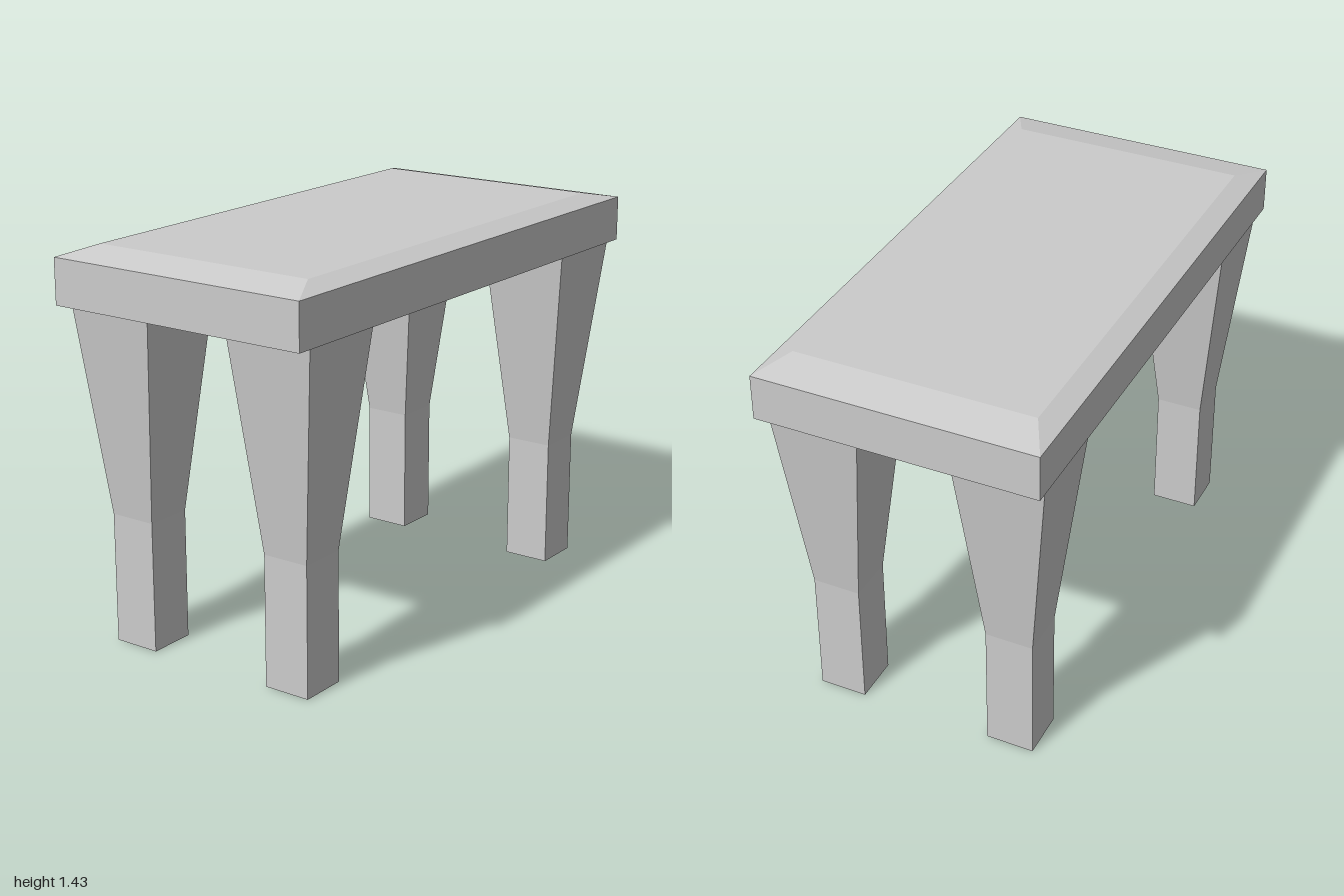
import * as THREE from 'three';

// Closed solid through stacked rectangles, each [y, halfWidth, halfDepth], bottom to top
function stackedBox(sections) {
  const corners = [[1, 1], [1, -1], [-1, -1], [-1, 1]];
  const positions = [];
  const index = [];
  for (const [y, hx, hz] of sections) {
    for (const [sx, sz] of corners) positions.push(sx * hx, y, sz * hz);
  }
  for (let s = 0; s < sections.length - 1; s++) {
    for (let i = 0; i < 4; i++) {
      const a = s * 4 + i;
      const b = s * 4 + (i + 1) % 4;
      index.push(a, b, b + 4, a, b + 4, a + 4);
    }
  }
  const t = (sections.length - 1) * 4;
  index.push(0, 2, 1, 0, 3, 2, t, t + 1, t + 2, t, t + 2, t + 3);
  const indexed = new THREE.BufferGeometry();
  indexed.setAttribute('position', new THREE.Float32BufferAttribute(positions, 3));
  indexed.setIndex(index);
  const geometry = indexed.toNonIndexed();
  geometry.computeVertexNormals();
  return geometry;
}

export function createModel() {
  const group = new THREE.Group();
  group.name = 'table';
  const material = new THREE.MeshStandardMaterial({ color: 0xcccccc, flatShading: true });

  // Slab with shallow bevels above and below
  const top = new THREE.Mesh(stackedBox([
    [1.205, 0.435, 0.855],
    [1.235, 0.51, 1],
    [1.4, 0.51, 1],
    [1.43, 0.435, 0.855],
  ]), material);
  top.name = 'tableTop';
  group.add(top);

  // Square legs, flaring upward from the straight foot into the slab
  const legGeometry = stackedBox([
    [0, 0.0875, 0.0875],
    [0.475, 0.0875, 0.0875],
    [1.245, 0.169, 0.169],
  ]);
  for (const [zName, z] of [['front', 0.7725], ['back', -0.7625]]) {
    for (const [xName, x] of [['Left', 0.3375], ['Right', -0.3275]]) {
      const leg = new THREE.Mesh(legGeometry, material);
      leg.name = `${zName}${xName}Leg`;
      leg.position.set(x, 0, z);
      group.add(leg);
    }
  }
  return group;
}
